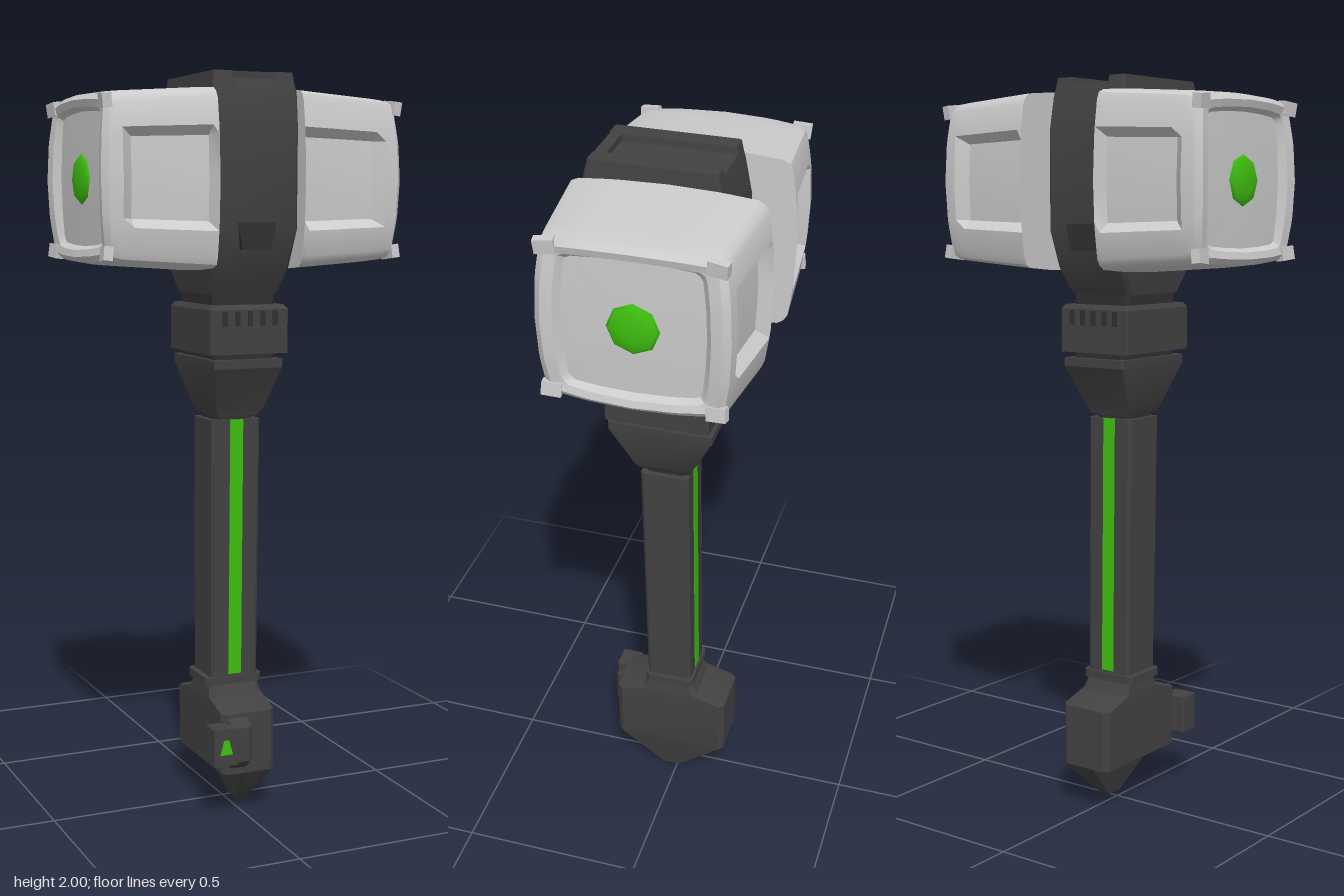
import * as THREE from 'three';
import { toCreasedNormals } from 'three/addons/utils/BufferGeometryUtils.js';

const mat = (color) => new THREE.MeshStandardMaterial({ color });
const shell = mat(0xcccccc), dark = mat(0x424242), darker = mat(0x303030), green = mat(0x3fc010);

function add(parent, name, geometry, material, x = 0, y = 0, z = 0) {
  const mesh = new THREE.Mesh(geometry, material);
  mesh.name = name;
  mesh.position.set(x, y, z);
  parent.add(mesh);
  return mesh;
}
const box = (w, h, d) => new THREE.BoxGeometry(w, h, d);
const plate = (points, depth) => new THREE.ExtrudeGeometry(
  new THREE.Shape(points.map(([x, y]) => new THREE.Vector2(x, y))), { depth, bevelEnabled: false });

// Skin a list of equal-length rings and close both ends with fans.
function skin(rings, crease = 0.45) {
  const n = rings[0].length, pos = [], index = [];
  rings.forEach((r) => r.forEach((p) => pos.push(...p)));
  for (let i = 0; i < rings.length - 1; i++) {
    for (let j = 0; j < n; j++) {
      const a = i * n + j, b = i * n + (j + 1) % n;
      index.push(a, a + n, b, b, a + n, b + n);
    }
  }
  [0, rings.length - 1].forEach((k) => {
    const c = pos.length / 3;
    pos.push(...[0, 1, 2].map((d) => rings[k].reduce((s, p) => s + p[d], 0) / n));
    for (let j = 0; j < n; j++) {
      const a = k * n + j, b = k * n + (j + 1) % n;
      index.push(...(k ? [c, b, a] : [c, a, b]));
    }
  });
  const g = new THREE.BufferGeometry();
  g.setAttribute('position', new THREE.Float32BufferAttribute(pos, 3));
  g.setIndex(index);
  return toCreasedNormals(g, crease);
}

// Upright loft: each section is [y, x0, x1, zBack, zFront, chamfer].
const loft = (sections) => skin(sections.map(([y, x0, x1, z0, z1, c]) => [
  [x0 + c, y, z0], [x1 - c, y, z0], [x1, y, z0 + c], [x1, y, z1 - c],
  [x1 - c, y, z1], [x0 + c, y, z1], [x0, y, z1 - c], [x0, y, z0 + c],
]));

// Barrel-sided striking block along +x with a dented panel front and back.
function headGeometry() {
  const steps = [-1, -0.9, -0.6, -0.49, 0, 0.49, 0.6, 0.9];
  const ring = (x, Y, Z, dent = 0, bow = 0) => {
    const pts = [];
    for (let side = 0; side < 4; side++) {
      steps.forEach((u) => {
        const upright = side % 2 === 0, s = side < 2 ? 1 : -1;
        const round = Math.abs(u) === 1 ? 0.975 : 1;
        const inset = upright && Math.abs(u) < 0.5 ? dent : 0;
        const across = (1 - 0.08 * u * u) * round, along = u * 0.93 * round;
        const y = upright ? s * along * Y : s * Y * (1 - 0.06 * u * u) * round;
        const z = upright ? s * (across * Z - inset) : -s * along * Z;
        pts.push([x + bow * (1 - u * u), y, z]);
      });
    }
    return pts;
  };
  return skin([
    ring(0.12, 0.238, 0.266),
    ring(0.135, 0.237, 0.265, 0.035),
    ring(0.34, 0.223, 0.246, 0.03),
    ring(0.37, 0.22, 0.243),
    ring(0.395, 0.214, 0.238, 0, 0.012),
    ring(0.407, 0.2, 0.221, 0, 0.015),
    ring(0.405, 0.182, 0.192, 0, 0.012),
    ring(0.392, 0.172, 0.177, 0, 0.004),
    ring(0.398, 0.09, 0.09),
  ], 0.5);
}

function createHead() {
  const head = new THREE.Group();
  head.name = 'strikingHead';
  add(head, 'headShell', headGeometry(), shell);
  // corner clips on the outer rim
  for (const sy of [-1, 1]) for (const sz of [-1, 1]) {
    const clip = add(head, 'cornerClip', box(0.024, 0.036, 0.05), shell, 0.404, sy * 0.189, sz * 0.205);
    clip.rotation.set(sy * sz * 0.1, sz * 0.12, -sy * 0.12);
  }
  // faceted core set in the striking face
  const core = add(head, 'glowCore', new THREE.SphereGeometry(0.067, 8, 6), green, 0.397, 0, 0);
  core.rotation.z = -Math.PI / 2;
  core.scale.y = 0.25;
  head.position.y = 1.728;
  return head;
}

export function createModel() {
  const model = new THREE.Group();
  model.name = 'warHammer';

  // the two striking heads
  const left = createHead(), right = createHead();
  right.rotation.y = Math.PI;
  model.add(left, right);

  // central band with a shallow channel between two top rails
  const band = new THREE.Group();
  band.name = 'centralBand';
  model.add(band);
  add(band, 'bandBody', loft([
    [1.43, -0.1, 0.1, -0.08, 0.15, 0.012],
    [1.5, -0.112, 0.112, -0.12, 0.19, 0.01],
    [1.6, -0.118, 0.118, -0.148, 0.224, 0.006],
    [1.86, -0.118, 0.118, -0.148, 0.226, 0.006],
    [1.95, -0.118, 0.118, -0.13, 0.217, 0.006],
    [1.982, -0.114, 0.114, -0.123, 0.205, 0.006],
  ]), dark);
  for (const s of [-1, 1]) {
    add(band, 'topRail', loft([
      [1.95, s * 0.085 - 0.031, s * 0.085 + 0.031, -0.129, 0.216, 0.005],
      [2.0, s * 0.085 - 0.026, s * 0.085 + 0.026, -0.12, 0.205, 0.005],
    ]), dark);
    // trapezoid latch on front and back
    const latch = add(band, 'latch', plate([[-0.055, 0.035], [-0.04, -0.035], [0.04, -0.035], [0.055, 0.035]], 0.03),
      darker, 0, 1.582, s > 0 ? 0.197 : -0.124);
    if (s < 0) latch.rotation.y = Math.PI;
  }
  add(band, 'channelStop', box(0.12, 0.04, 0.03), dark, 0, 1.979, 0.188);

  // neck: spacer, collar block, spacer, tapered socket
  add(model, 'upperSpacer', loft([[1.39, -0.09, 0.09, -0.08, 0.15, 0.01], [1.44, -0.09, 0.09, -0.08, 0.15, 0.01]]), darker);
  add(model, 'neckBlock', loft([
    [1.273, -0.11, 0.113, -0.105, 0.18, 0.003],
    [1.39, -0.11, 0.113, -0.105, 0.18, 0.003],
    [1.402, -0.102, 0.105, -0.097, 0.17, 0.003],
  ]), dark);
  for (let i = 0; i < 5; i++) for (const z of [-0.104, 0.179]) {
    add(model, 'neckRib', box(0.014, 0.04, 0.008), darker, -0.07 + i * 0.036, 1.367, z);
  }
  add(model, 'lowerSpacer', loft([[1.245, -0.085, 0.085, -0.09, 0.155, 0.01], [1.28, -0.085, 0.085, -0.09, 0.155, 0.01]]), darker);
  add(model, 'taperedSocket', loft([
    [1.1, -0.06, 0.06, -0.04, 0.105, 0.004],
    [1.12, -0.07, 0.075, -0.047, 0.113, 0.004],
    [1.235, -0.098, 0.1, -0.11, 0.177, 0.004],
    [1.258, -0.098, 0.1, -0.11, 0.177, 0.004],
  ]), dark);
  add(model, 'socketPin', loft([[1.07, -0.055, 0.055, -0.025, 0.085, 0.01], [1.11, -0.055, 0.055, -0.025, 0.085, 0.01]]), darker);

  // squared grip with a glowing strip front and back
  add(model, 'grip', loft([[0.36, -0.068, 0.069, -0.045, 0.085, 0.008], [1.09, -0.071, 0.071, -0.037, 0.098, 0.008]]), dark);
  add(model, 'frontStrip', loft([[0.38, -0.019, 0.019, 0.08, 0.0872, 0], [1.09, -0.019, 0.019, 0.09, 0.0995, 0]]), green);
  add(model, 'backStrip', loft([[0.38, -0.019, 0.019, -0.0465, -0.035, 0], [1.09, -0.019, 0.019, -0.0385, -0.03, 0]]), green);

  // collar and pommel
  add(model, 'gripCollar', loft([[0.352, -0.084, 0.082, -0.052, 0.09, 0.012], [0.374, -0.084, 0.082, -0.052, 0.09, 0.012]]), dark);
  add(model, 'pommel', loft([
    [0, 0.024, 0.054, -0.012, 0.05, 0.006],
    [0.122, -0.014, 0.08, -0.148, 0.178, 0.012],
    [0.126, -0.074, 0.081, -0.15, 0.18, 0.015],
    [0.295, -0.076, 0.081, -0.15, 0.18, 0.015],
    [0.32, -0.076, 0.08, -0.065, 0.1, 0.015],
    [0.355, -0.07, 0.072, -0.047, 0.082, 0.012],
  ]), dark);

  // side button with a small glowing light
  add(model, 'buttonMount', loft([
    [0.145, -0.06, 0, 0.1, 0.185, 0.01],
    [0.17, -0.06, 0, 0.1, 0.212, 0.01],
    [0.265, -0.06, 0, 0.1, 0.212, 0.01],
    [0.285, -0.06, 0, 0.1, 0.185, 0.01],
  ]), dark);
  add(model, 'button', loft([[0.168, -0.118, -0.048, 0.16, 0.222, 0.004], [0.27, -0.118, -0.048, 0.16, 0.222, 0.004]]), dark);
  add(model, 'buttonLight', plate([[-0.018, -0.02], [0.018, -0.02], [0.007, 0.02], [-0.007, 0.02]], 0.006),
    green, -0.084, 0.22, 0.219);

  return model;
}
